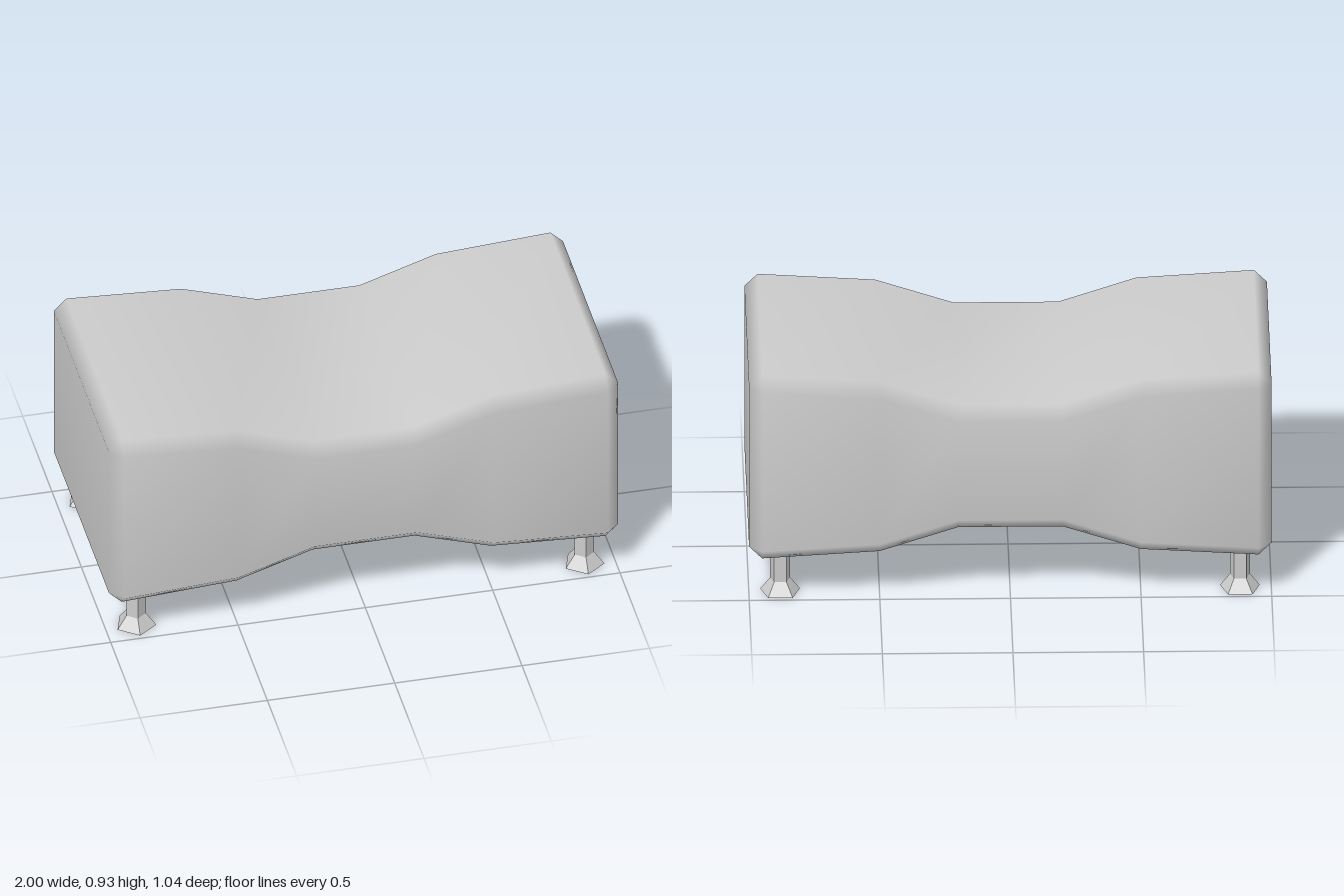
import * as THREE from 'three';
import { mergeVertices } from 'three/addons/utils/BufferGeometryUtils.js';

const BEVEL = 0.05;
const HALF_DEPTH = 0.52;

// Cushioned body: bevelled rectangular sections strung along x.
function bodyGeometry() {
  // [x, bottom, top] for one half, from the waist outwards
  const half = [[0.2, 0.288, 0.803], [0.5, 0.19, 0.902], [0.95, 0.163, 0.93]];
  const sections = [...half.map(([x, b, t]) => [-x, b, t]).reverse(), ...half];

  const octagon = ([x, b, t]) => {
    const z = HALF_DEPTH, c = BEVEL;
    return [[x, t, z - c], [x, t, c - z], [x, t - c, -z], [x, b + c, -z],
      [x, b, c - z], [x, b, z - c], [x, b + c, z], [x, t - c, z]];
  };
  // End loop: the octagon's points meet in pairs at four corners
  const endLoop = (x) => {
    const t = 0.93 - BEVEL, b = 0.163 + BEVEL, z = HALF_DEPTH - BEVEL;
    const [p, q, r, s] = [[x, t, z], [x, t, -z], [x, b, -z], [x, b, z]];
    return [p, q, q, r, r, s, s, p];
  };
  const loops = [endLoop(-1), ...sections.map(octagon), endLoop(1)];

  const index = [];
  for (let i = 0; i < loops.length - 1; i++) {
    for (let j = 0; j < 8; j++) {
      const k = (j + 1) % 8;
      const a = i * 8 + j, b = i * 8 + k, c = b + 8, d = a + 8;
      index.push(a, d, c, a, c, b);
    }
  }
  const e = (loops.length - 1) * 8;
  index.push(0, 1, 3, 0, 3, 5, e, e + 5, e + 3, e, e + 3, e + 1);

  let geo = new THREE.BufferGeometry();
  geo.setAttribute('position', new THREE.Float32BufferAttribute(loops.flat(2), 3));
  geo.setIndex(index);
  geo = mergeVertices(geo);

  // Drop the collapsed triangles at the end corners
  const old = geo.index.array, kept = [];
  for (let i = 0; i < old.length; i += 3) {
    const [a, b, c] = [old[i], old[i + 1], old[i + 2]];
    if (a !== b && b !== c && c !== a) kept.push(a, b, c);
  }
  geo.setIndex(kept);
  geo.computeVertexNormals();
  return geo;
}

export function createModel() {
  const model = new THREE.Group();
  model.name = 'bench';
  const smooth = new THREE.MeshStandardMaterial({ color: 0xcccccc });
  const faceted = new THREE.MeshStandardMaterial({ color: 0xcccccc, flatShading: true });

  const add = (parent, name, geo, material, y = 0) => {
    const mesh = new THREE.Mesh(geo, material);
    mesh.name = name;
    mesh.position.y = y;
    parent.add(mesh);
  };

  add(model, 'cushionBody', bodyGeometry(), smooth);

  // Five-sided legs with flared feet
  const postGeo = new THREE.CylinderGeometry(0.04, 0.04, 0.15, 5, 1, true);
  const footGeo = new THREE.CylinderGeometry(0.04, 0.08, 0.052, 5);
  for (const [side, x] of [['Left', 0.88], ['Right', -0.88]]) {
    for (const [end, z] of [['front', 0.402], ['back', -0.415]]) {
      const leg = new THREE.Group();
      leg.name = `${end}${side}Leg`;
      leg.position.set(x, 0, z);
      add(leg, 'legPost', postGeo, faceted, 0.127);
      add(leg, 'legFoot', footGeo, faceted, 0.026);
      model.add(leg);
    }
  }
  return model;
}
